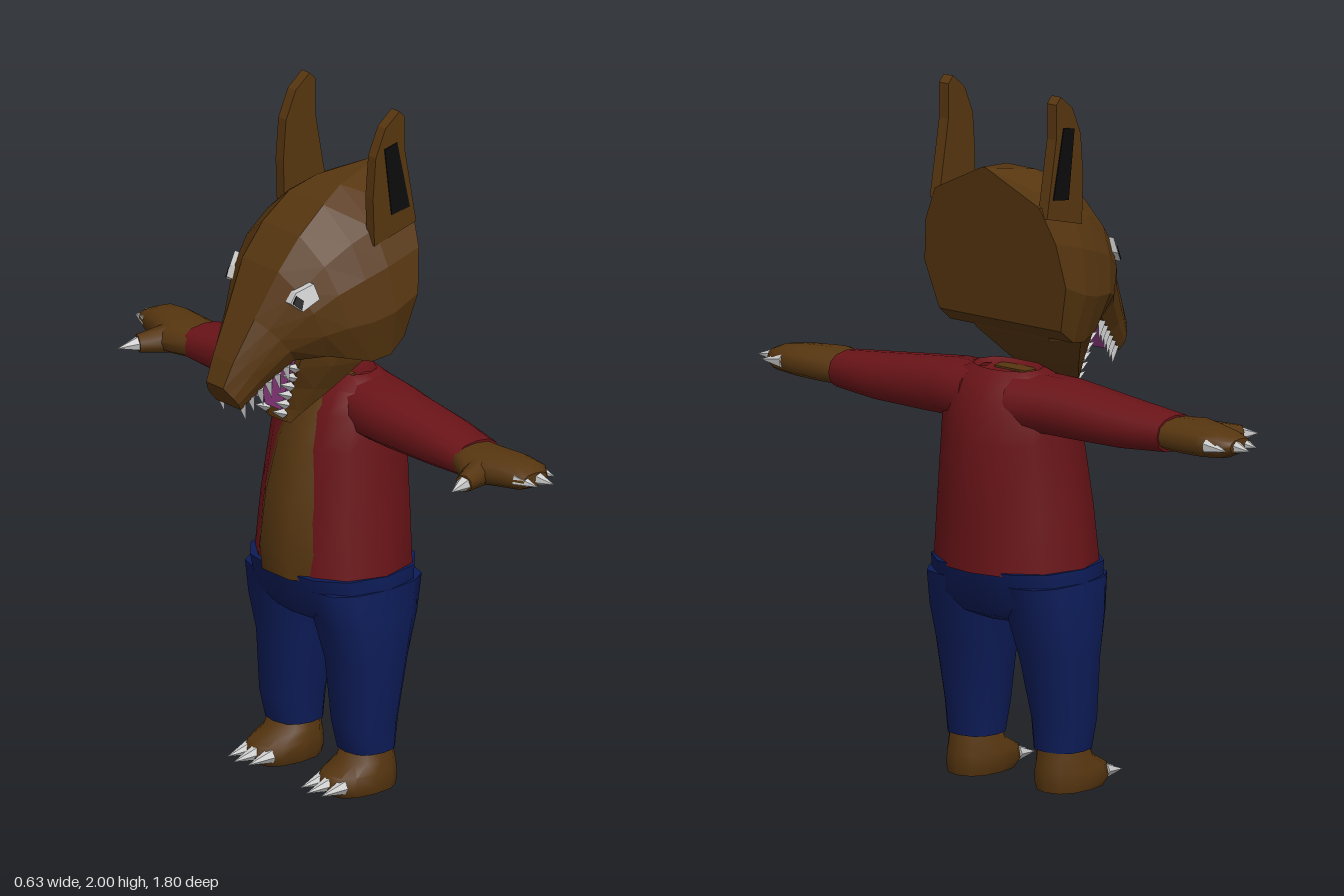
import * as THREE from 'three';
import { toCreasedNormals } from 'three/addons/utils/BufferGeometryUtils.js';

const mat = (color, flat = false) => new THREE.MeshStandardMaterial({ color, flatShading: flat, side: THREE.DoubleSide });
const FUR = mat(0x573610), FURFLAT = mat(0x573610, true), SHIRT = mat(0x6a1418), PANTS = mat(0x0d1c58);
const WHITE = mat(0xdcdcd8, true), BLACK = mat(0x0c0c0c, true), MOUTH = mat(0x99408c, true);
const V = (x, y, z) => new THREE.Vector3(x, y, z);

// Closed skin through cross-section rings, capped at both ends, always wound outwards
function loft(rings, crease = 0.9) {
  const n = rings[0].length, tris = [];
  for (let i = 0; i < rings.length - 1; i++) {
    for (let j = 0; j < n; j++) {
      const k = (j + 1) % n, a = rings[i][j], b = rings[i][k], c = rings[i + 1][k], d = rings[i + 1][j];
      tris.push([a, b, c], [a, c, d]);
    }
  }
  const cap = (ring, flip) => {
    const c = ring.reduce((s, p) => s.add(p), V(0, 0, 0)).divideScalar(n);
    ring.forEach((p, j) => {
      const q = ring[(j + 1) % n];
      tris.push(flip ? [c, q, p] : [c, p, q]);
    });
  };
  cap(rings[0], true);
  cap(rings[rings.length - 1], false);
  const vol = tris.reduce((s, [a, b, c]) => s + a.dot(V(0, 0, 0).crossVectors(b, c)), 0);
  const pts = tris.flatMap(([a, b, c]) => (vol < 0 ? [a, c, b] : [a, b, c]));
  const geo = new THREE.BufferGeometry().setFromPoints(pts);
  geo.computeVertexNormals();
  return crease ? toCreasedNormals(geo, crease) : geo;
}

// Rounded ring filling a rectangle, n-sided
function oval(u0, u1, v0, v1, place, n = 12) {
  return Array.from({ length: n }, (_, i) => {
    const a = (i / n) * Math.PI * 2, r = (t) => Math.sign(t) * Math.pow(Math.abs(t), 0.8);
    return place((u0 + u1) / 2 + r(Math.cos(a)) * (u1 - u0) / 2, (v0 + v1) / 2 + r(Math.sin(a)) * (v1 - v0) / 2);
  });
}
// Stacks of ovals: along y [y, x0, x1, z0, z1], and along z [z, x0, x1, y0, y1]
const alongY = (rows, s = 1) => loft(rows.map(([y, a, b, c, d]) => oval(a, b, c, d, (x, z) => V(x, y, s * z))));
const alongZ = (rows, s = 1) => loft(rows.map(([z, a, b, c, d]) => oval(a, b, c, d, (x, y) => V(x, y, s * z))));

// Symmetric ring between two points F and K of the centre plane; half = [fraction, width fraction]
function symRing([fx, fy], [kx, ky], w, half) {
  const side = (s) => half.map(([f, z]) => V(fx + (kx - fx) * f, fy + (ky - fy) * f, s * w * z));
  return [...side(1), ...side(-1).reverse()];
}

// Thin plate from an outline of [x, y]; z is a rule giving the surface depth
const plate = (outline, z, t, s) =>
  loft([-t, t].map((d) => outline.map(([x, y]) => V(x, y, s * (z(x, y) + d)))), 0.3);

// Tapered round piece from a to b
function taper(a, b, r0, r1, sides = 6) {
  const dir = b.clone().sub(a), geo = new THREE.CylinderGeometry(r1, r0, dir.length(), sides);
  geo.applyQuaternion(new THREE.Quaternion().setFromUnitVectors(V(0, 1, 0), dir.clone().normalize()));
  const mid = a.clone().add(b).multiplyScalar(0.5);
  return geo.translate(mid.x, mid.y, mid.z);
}

export function createModel() {
  const model = new THREE.Group();
  const add = (name, geo, material) => {
    const m = new THREE.Mesh(geo, material);
    m.name = name;
    model.add(m);
  };

  // Skull and snout, from nose to the flat back of the head: top, bottom, half width, ridge width
  const skull = [
    [[-0.32, 1.24], [-0.27, 1.17], 0.062, 0.6],
    [[-0.29, 1.31], [-0.2, 1.235], 0.088, 0.5],
    [[-0.225, 1.43], [-0.125, 1.3], 0.13, 0.45],
    [[-0.155, 1.56], [-0.05, 1.31], 0.195, 0.4],
    [[-0.08, 1.65], [0.0, 1.3], 0.23, 0.35],
    [[0.01, 1.72], [0.07, 1.28], 0.25, 0.3],
    [[0.09, 1.755], [0.13, 1.29], 0.262, 0.2],
    [[0.25, 1.78], [0.18, 1.33], 0.258, 0.03],
  ].map(([t, b, w, r]) => symRing(t, b, w, [[0, r], [0.2, 0.74], [0.42, 0.92], [0.7, 1], [1, 0.86]]));
  add('skull', loft(skull, 0), FURFLAT);

  // Open lower jaw hanging down from the skull
  const jaw = [
    [[-0.1, 1.32], [0.18, 1.38], 0.22],
    [[-0.105, 1.27], [0.125, 1.28], 0.19],
    [[-0.1, 1.2], [0.035, 1.19], 0.13],
    [[-0.1, 1.13], [-0.045, 1.125], 0.08],
    [[-0.1, 1.09], [-0.085, 1.09], 0.055],
  ].map(([f, k, w]) => symRing(f, k, w, [[0, 0.55], [0.35, 0.85], [0.7, 1], [1, 0.7]]));
  add('lowerJaw', loft(jaw, 0), FURFLAT);

  // Mouth lining: palate and tongue
  const strip = (a, wa, b, wb, dx, dy) => loft([-1, 1].map((k) => [
    V(a[0] + k * dx, a[1] + k * dy, wa), V(b[0] + k * dx, b[1] + k * dy, wb),
    V(b[0] + k * dx, b[1] + k * dy, -wb), V(a[0] + k * dx, a[1] + k * dy, -wa)]), 0.3);
  add('palate', strip([-0.262, 1.177], 0.044, [-0.13, 1.297], 0.095, 0.006, -0.007), MOUTH);
  add('tongue', strip([-0.105, 1.29], 0.09, [-0.1, 1.125], 0.035, 0.009, 0), MOUTH);

  // Shirt
  const shirtHalf = [[0, 0.5], [0.15, 0.85], [0.45, 1], [0.78, 0.84], [0.96, 0.4], [1, 0.03]];
  const shirt = [
    [0.63, -0.065, 0.31, 0.24], [0.8, -0.055, 0.312, 0.222], [1.0, -0.03, 0.31, 0.2],
    [1.1, 0, 0.29, 0.2], [1.165, 0.04, 0.255, 0.19], [1.197, 0.08, 0.22, 0.11], [1.18, 0.095, 0.205, 0.08],
  ].map(([y, a, b, w]) => symRing([a, y], [b, y], w, shirtHalf));
  add('shirt', loft(shirt), SHIRT);

  // Bare chest and belly bulging through the open shirt
  const chest = [
    [0.625, -0.1, 0.12], [0.7, -0.11, 0.118], [0.85, -0.092, 0.11], [1.0, -0.052, 0.1], [1.12, 0.0, 0.09], [1.185, 0.065, 0.07],
  ].map(([y, x, w]) => symRing([x, y], [0.14, y], w, [[0, 0.5], [0.2, 1], [1, 0.8]]));
  add('chest', loft(chest), FUR);

  // Trouser seat
  add('trouserSeat', alongY([
    [0.64, -0.1, 0.31, -0.242, 0.242], [0.55, -0.075, 0.285, -0.25, 0.25], [0.5, -0.04, 0.25, -0.2, 0.2], [0.48, 0.0, 0.21, -0.1, 0.1],
  ]), PANTS);

  for (const s of [1, -1]) {
    const side = s > 0 ? 'A' : 'B';
    const P = (x, y, z) => V(x, y, s * z);

    // Ear with a dark inset on the outer face
    add('ear' + side, plate([
      [0.08, 1.62], [0.075, 1.76], [0.085, 1.88], [0.12, 1.96], [0.17, 2.0], [0.19, 1.98], [0.19, 1.88], [0.21, 1.77], [0.23, 1.66],
    ], () => 0.197, 0.017, s), FURFLAT);
    add('earInset' + side, plate([[0.115, 1.9], [0.16, 1.91], [0.205, 1.71], [0.14, 1.7]], () => 0.207, 0.01, s), BLACK);

    // Eye and pupil lying on the slope of the face
    const face = (x, y) => 0.178 + 0.95 * (x + 0.1) - 0.4 * (y - 1.5);
    add('eye' + side, plate([[-0.162, 1.485], [-0.145, 1.515], [-0.105, 1.54], [-0.1, 1.5], [-0.14, 1.465]], face, 0.016, s), WHITE);
    add('pupil' + side, plate([[-0.158, 1.485], [-0.147, 1.507], [-0.135, 1.495], [-0.143, 1.47]], face, 0.02, s), BLACK);

    // Teeth of both jaws
    for (let i = 0; i < 6; i++) {
      const t = i / 5;
      const u = P(-0.258 + 0.115 * t, 1.185 + 0.1 * t, 0.047 + 0.05 * t);
      add('upperTooth' + side, taper(u, u.clone().add(V(0.012, -0.055, 0)), 0.015, 0, 4), WHITE);
      const l = P(-0.1, 1.265 - 0.15 * t, 0.092 - 0.055 * t);
      add('lowerTooth' + side, taper(l, l.clone().add(V(-0.045, 0.015, 0)), 0.015, 0, 4), WHITE);
    }

    // Sleeve, hand, thumb and claws
    add('sleeve' + side, alongZ([
      [0.08, 0.04, 0.27, 1.03, 1.19], [0.2, 0.035, 0.255, 1.03, 1.187], [0.27, 0.04, 0.245, 1.028, 1.18],
      [0.45, 0.05, 0.235, 1.03, 1.16], [0.6, 0.055, 0.212, 1.04, 1.142],
    ], s), SHIRT);
    add('hand' + side, alongZ([
      [0.57, 0.06, 0.205, 1.048, 1.135], [0.66, 0.03, 0.212, 1.045, 1.138], [0.74, 0.065, 0.215, 1.05, 1.138],
      [0.81, 0.085, 0.212, 1.058, 1.13], [0.845, 0.1, 0.185, 1.075, 1.115],
    ], s), FUR);
    add('thumb' + side, taper(P(0.09, 1.09, 0.675), P(-0.01, 1.082, 0.715), 0.045, 0.026, 8), FUR);
    add('thumbClaw' + side, taper(P(0, 1.082, 0.712), P(-0.07, 1.075, 0.733), 0.025, 0), WHITE);
    for (const [x, z] of [[0.108, 0.81], [0.155, 0.825], [0.198, 0.775]]) {
      add('fingerClaw' + side, taper(P(x, 1.095, z), P(x + 0.01, 1.09, z + 0.075), 0.024, 0), WHITE);
    }

    // Trouser leg, foot and toe claws
    add('trouserLeg' + side, alongY([
      [0.115, 0.02, 0.172, 0.08, 0.235], [0.2, 0.0, 0.18, 0.072, 0.243], [0.38, -0.01, 0.215, 0.045, 0.256],
      [0.5, -0.045, 0.255, 0.03, 0.256], [0.6, -0.07, 0.285, 0.01, 0.245],
    ], s), PANTS);
    add('foot' + side, alongY([
      [0, -0.04, 0.175, 0.09, 0.235], [0.025, -0.06, 0.18, 0.08, 0.242], [0.06, -0.045, 0.178, 0.08, 0.24],
      [0.09, 0.01, 0.172, 0.088, 0.232], [0.14, 0.035, 0.165, 0.095, 0.225],
    ], s), FUR);
    for (const z of [0.115, 0.16, 0.205]) {
      const out = z === 0.16 ? 0 : 0.015;
      add('toeClaw' + side, taper(P(-0.04 + out, 0.034, z), P(-0.122 + out, 0.024, z), 0.022, 0), WHITE);
    }
  }
  return model;
}
